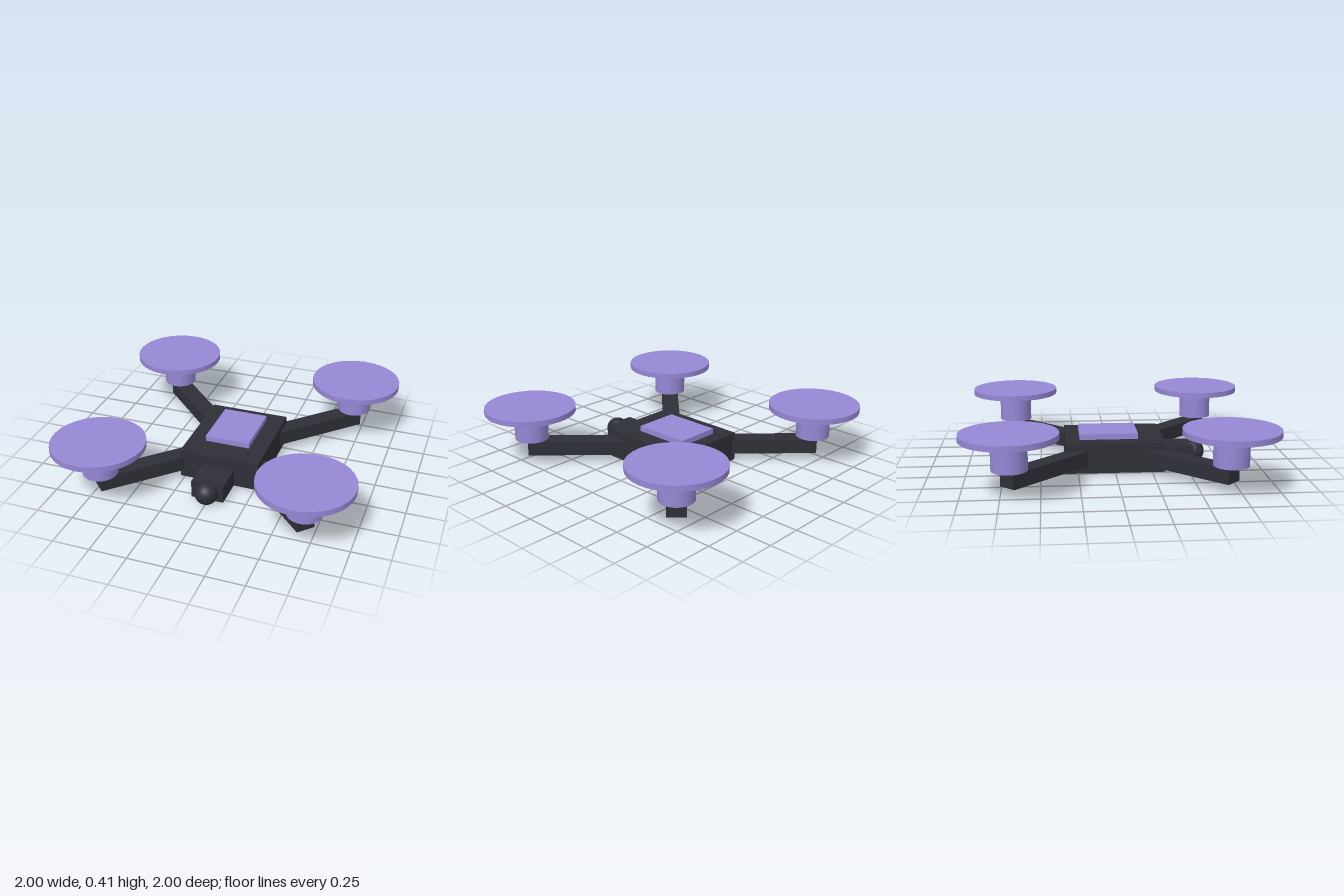
import * as THREE from 'three';

export function createModel() {
  const model = new THREE.Group();
  model.name = 'quadcopter';

  const darkShell = new THREE.MeshStandardMaterial({ color: 0x2f2f38 });
  darkShell.name = 'dark shell';
  const violet = new THREE.MeshStandardMaterial({ color: 0x9688d6 });
  violet.name = 'violet';

  function add(parent, name, geometry, material, x, y, z) {
    const mesh = new THREE.Mesh(geometry, material);
    mesh.name = name;
    mesh.position.set(x, y, z);
    parent.add(mesh);
    return mesh;
  }

  // Central body and the raised battery cover
  add(model, 'body', new THREE.BoxGeometry(0.55, 0.2, 0.666), darkShell, 0, 0.11, 0);
  add(model, 'batteryCover', new THREE.BoxGeometry(0.31, 0.04, 0.396), violet, 0, 0.228, -0.038);

  // Camera on the nose
  add(model, 'cameraMount', new THREE.BoxGeometry(0.22, 0.12, 0.25), darkShell, 0, 0.076, 0.425);
  add(model, 'cameraLens', new THREE.SphereGeometry(0.077, 32, 20), darkShell, 0, 0.077, 0.564);

  // Four diagonal arms, each with a motor and a rotor disc
  const armInner = 0.2, armOuter = 0.998;
  const armGeometry = new THREE.BoxGeometry(0.124, 0.1, armOuter - armInner);
  const motorGeometry = new THREE.CylinderGeometry(0.115, 0.115, 0.188, 32);
  const rotorGeometry = new THREE.CylinderGeometry(0.31, 0.31, 0.038, 32);
  const armCentre = (armInner + armOuter) / 2 * Math.SQRT1_2;
  const hub = 0.689;

  for (const sz of [1, -1]) {
    for (const sx of [1, -1]) {
      const unit = new THREE.Group();
      unit.name = (sz > 0 ? 'front' : 'back') + (sx > 0 ? 'Left' : 'Right') + 'RotorUnit';
      const arm = add(unit, 'arm', armGeometry, darkShell, sx * armCentre, 0.11, sz * armCentre);
      arm.rotation.y = Math.atan2(sx, sz);
      add(unit, 'motor', motorGeometry, violet, sx * hub, 0.265, sz * hub);
      add(unit, 'rotorDisc', rotorGeometry, violet, sx * hub, 0.387, sz * hub);
      model.add(unit);
    }
  }

  return model;
}
